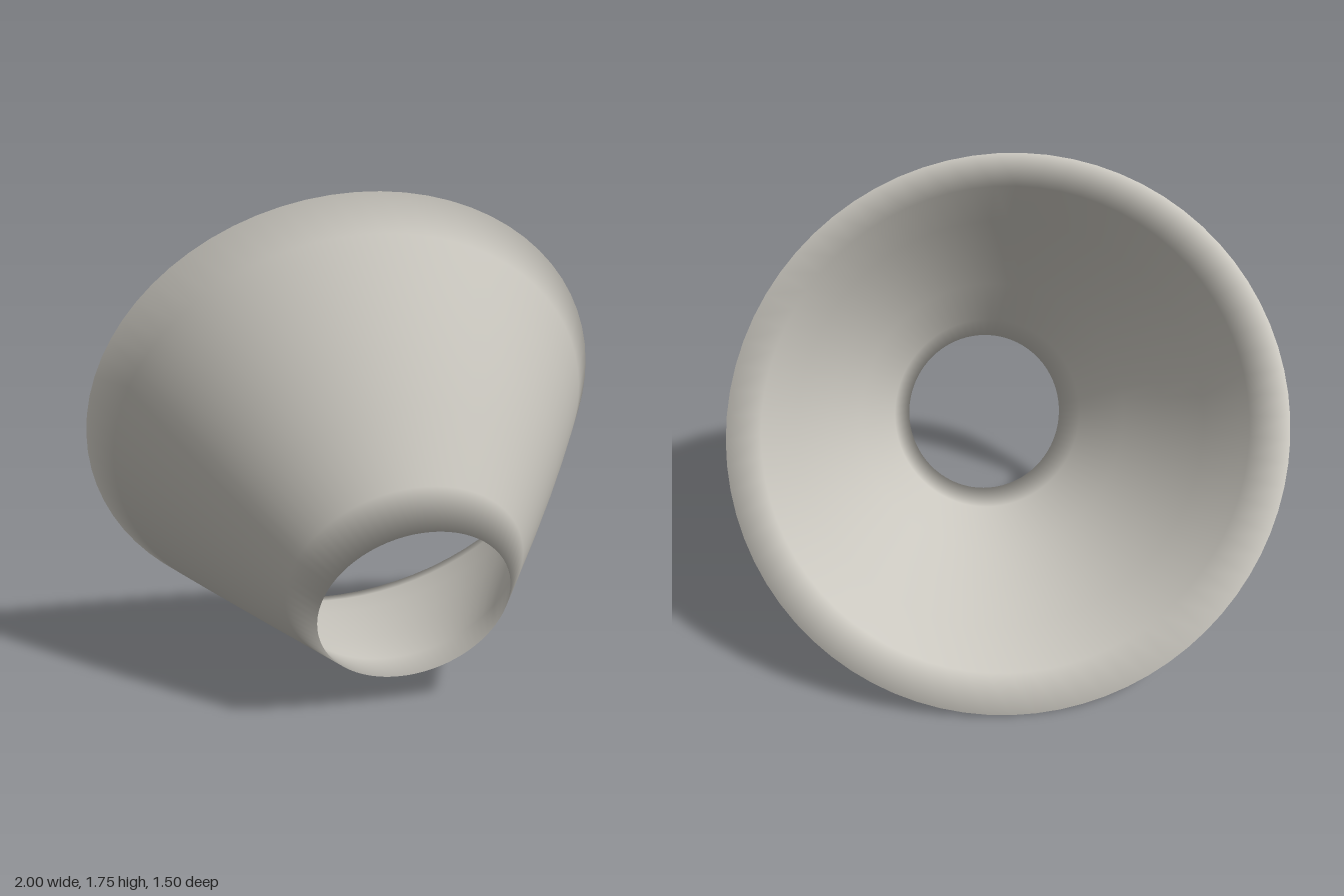
import * as THREE from 'three';

const SEGMENTS = 72;

// Tilted elliptical rims: the small front opening and the wide back opening
const smallRim = (a) => new THREE.Vector3(0.005 + 0.33 * Math.cos(a), 0.40 + 0.30 * Math.sin(a), 0.595 + 0.155 * Math.sin(a));
const wideRim = (a) => new THREE.Vector3(Math.cos(a), 0.877 + 0.877 * Math.sin(a), -0.28 + 0.47 * Math.sin(a));

// Closed wall section: [position from small rim to wide rim, inward offset]
const section = [
  [0, 0], [0.12, 0], [0.33, 0], [0.5, 0], [0.68, 0], [0.86, 0],
  [1, 0], [0.86, 0.022], [0.68, 0.024], [0.5, 0.024], [0.33, 0.024], [0.12, 0.022],
];

function wallPoint(a, t, inset) {
  const small = smallRim(a), wide = wideRim(a);
  const along = wide.clone().sub(small);
  const around = wideRim(a + 0.01).sub(wideRim(a - 0.01));
  const outward = along.clone().cross(around).normalize();
  // The wall swells slightly at the top and sides and dips underneath
  const swell = (0.014 + 0.016 * Math.sin(a)) * Math.sin(Math.PI * t);
  return small.addScaledVector(along, t).addScaledVector(outward, swell - inset);
}

function coneShell() {
  const positions = [], indices = [], rows = section.length;
  for (let i = 0; i < SEGMENTS; i++) {
    const a = (i / SEGMENTS) * Math.PI * 2;
    for (const [t, inset] of section) positions.push(...wallPoint(a, t, inset).toArray());
  }
  for (let i = 0; i < SEGMENTS; i++) {
    const next = (i + 1) % SEGMENTS;
    for (let j = 0; j < rows; j++) {
      const k = (j + 1) % rows;
      const p = i * rows + j, q = i * rows + k, r = next * rows + k, s = next * rows + j;
      indices.push(p, q, r, p, r, s);
    }
  }
  const geometry = new THREE.BufferGeometry();
  geometry.setAttribute('position', new THREE.Float32BufferAttribute(positions, 3));
  geometry.setIndex(indices);
  geometry.computeVertexNormals();
  return geometry;
}

export function createModel() {
  const model = new THREE.Group();
  model.name = 'flaredCone';
  const warmGrey = new THREE.MeshStandardMaterial({ color: 0xcbc8c0 });
  warmGrey.name = 'warm grey';
  const shell = new THREE.Mesh(coneShell(), warmGrey);
  shell.name = 'coneShell';
  model.add(shell);
  return model;
}
